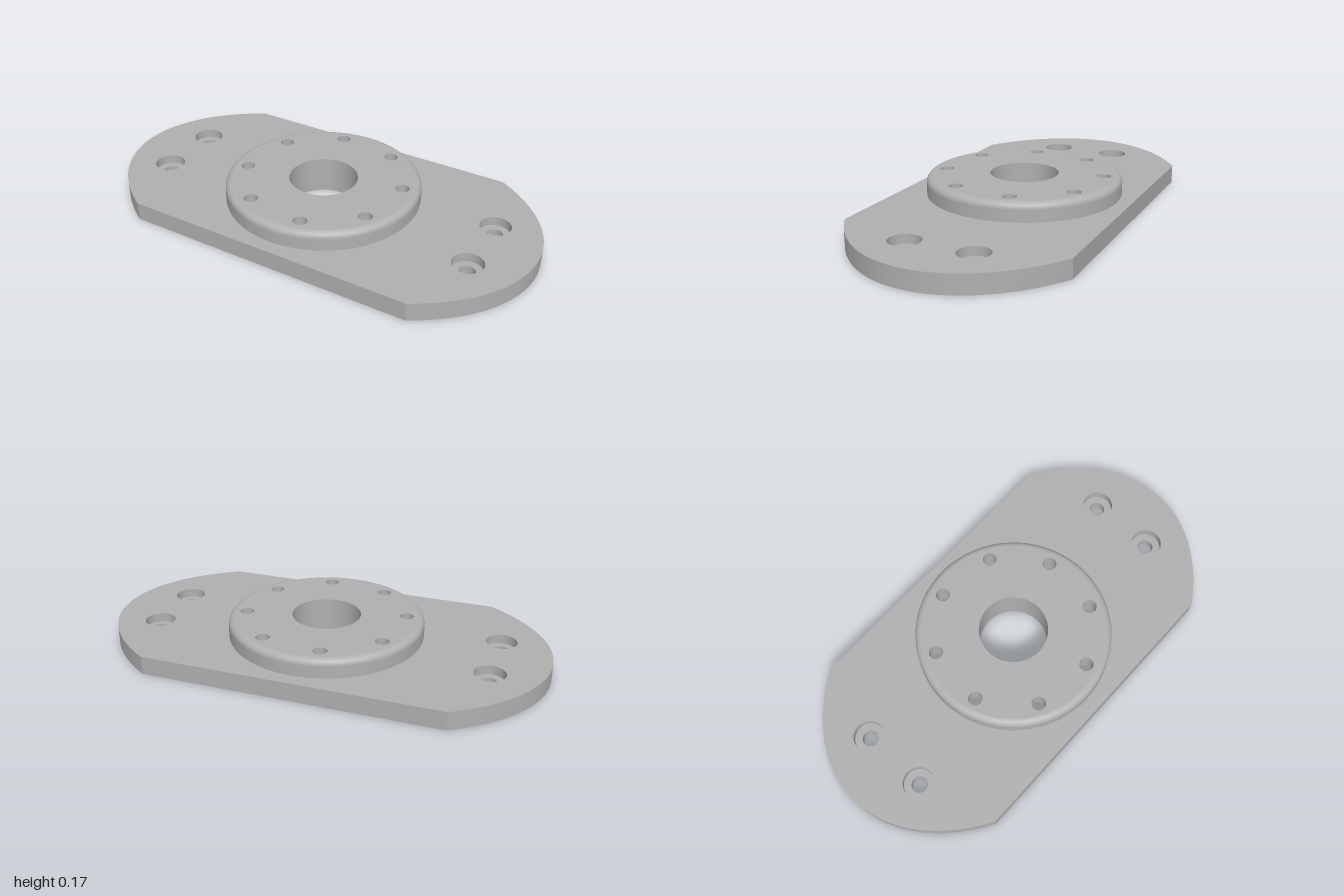
import * as THREE from 'three';
import { mergeGeometries, toCreasedNormals } from 'three/addons/utils/BufferGeometryUtils.js';

const SEG = 64;
const PLATE_TOP = 0.083, TOP = 0.167;
const BOSS_R = 0.437, FILLET = 0.03, BORE_R = 0.153;
const MOUNT = { r: 0.035, bore: 0.068, floor: 0.042 };
const BOLT = { r: 0.031, bore: 0.053 };

// Hole centres as [x, z]
const mountHoles = [];
for (const x of [-0.763, 0.763]) for (const z of [-0.15, 0.15]) mountHoles.push([x, z]);
const boltHoles = [];
for (let i = 0; i < 8; i++) {
  const a = THREE.MathUtils.degToRad(-15 + 45 * i);
  boltHoles.push([0.357 * Math.cos(a), 0.357 * Math.sin(a)]);
}

// Plate outline: an ellipse with its long sides cut straight at z = +-0.5
function outlinePoints() {
  const points = [], limit = Math.asin(0.75), steps = 40;
  for (const side of [0, Math.PI]) {
    for (let i = 0; i <= steps; i++) {
      const t = side - limit + (2 * limit * i) / steps;
      points.push(new THREE.Vector2(Math.cos(t), (2 / 3) * Math.sin(t)));
    }
  }
  return points;
}

// Flat face at height y with round holes [x, z, radius]; dir is 1 up, -1 down
function face(shape, holes, y, dir) {
  for (const [x, z, r] of holes) {
    shape.holes.push(new THREE.Path().absarc(x, -dir * z, r, 0, Math.PI * 2, true));
  }
  return new THREE.ShapeGeometry(shape, SEG).rotateX((-dir * Math.PI) / 2).translate(0, y, 0);
}

const disc = (r) => new THREE.Shape().absarc(0, 0, r, 0, Math.PI * 2, false);
const sized = (centres, r) => centres.map(([x, z]) => [x, z, r]);

// Upright wall around a closed outline, smooth on arcs and sharp at corners
function wall(points, y0, y1) {
  const pos = [];
  points.forEach((p, i) => {
    const q = points[(i + 1) % points.length];
    const a = [p.x, y0, -p.y], b = [q.x, y0, -q.y], c = [q.x, y1, -q.y], d = [p.x, y1, -p.y];
    pos.push(...a, ...b, ...c, ...a, ...c, ...d);
  });
  const g = new THREE.BufferGeometry();
  g.setAttribute('position', new THREE.Float32BufferAttribute(pos, 3));
  return toCreasedNormals(g, 0.3);
}

// Hole lining, one sharp-edged band per step of a [radius, y] profile, top down
function lining(profile) {
  const bands = [];
  for (let i = 0; i + 1 < profile.length; i++) {
    const pair = [profile[i], profile[i + 1]].map(([r, y]) => new THREE.Vector2(r, y));
    bands.push(new THREE.LatheGeometry(pair, SEG));
  }
  return mergeGeometries(bands);
}

export function createModel() {
  const model = new THREE.Group();
  model.name = 'flangePlate';
  const metal = new THREE.MeshStandardMaterial({ color: 0xb0b0b0 });
  metal.name = 'grey metal';

  const add = (name, geometry, x = 0, z = 0) => {
    const mesh = new THREE.Mesh(geometry, metal);
    mesh.name = name;
    mesh.position.set(x, 0, z);
    model.add(mesh);
  };

  // Base plate
  const outline = outlinePoints();
  add('plateTop', face(new THREE.Shape(outline),
    [[0, 0, BOSS_R], ...sized(mountHoles, MOUNT.bore)], PLATE_TOP, 1));
  add('plateBottom', face(new THREE.Shape(outline),
    [[0, 0, BORE_R], ...sized(mountHoles, MOUNT.r), ...sized(boltHoles, BOLT.bore)], 0, -1));
  add('plateEdge', wall(outline, 0, PLATE_TOP));

  // Raised boss with a rounded rim
  const rim = [new THREE.Vector2(BOSS_R, PLATE_TOP)];
  for (let i = 0; i <= 8; i++) {
    const a = (i / 8) * Math.PI / 2;
    rim.push(new THREE.Vector2(BOSS_R - FILLET + FILLET * Math.cos(a), TOP - FILLET + FILLET * Math.sin(a)));
  }
  add('bossRim', new THREE.LatheGeometry(rim, SEG));
  add('bossTop', face(disc(BOSS_R - FILLET), [[0, 0, BORE_R], ...sized(boltHoles, BOLT.r)], TOP, 1));

  // Centre bore, bolt holes widened from below, mounting holes widened from above
  add('centreBore', lining([[BORE_R, TOP], [BORE_R, 0]]));
  const boltLining = lining([[BOLT.r, TOP], [BOLT.r, PLATE_TOP], [BOLT.bore, PLATE_TOP], [BOLT.bore, 0]]);
  for (const [x, z] of boltHoles) add('boltHole', boltLining, x, z);
  const mountLining = lining([[MOUNT.bore, PLATE_TOP], [MOUNT.bore, MOUNT.floor], [MOUNT.r, MOUNT.floor], [MOUNT.r, 0]]);
  for (const [x, z] of mountHoles) add('mountingHole', mountLining, x, z);

  return model;
}
